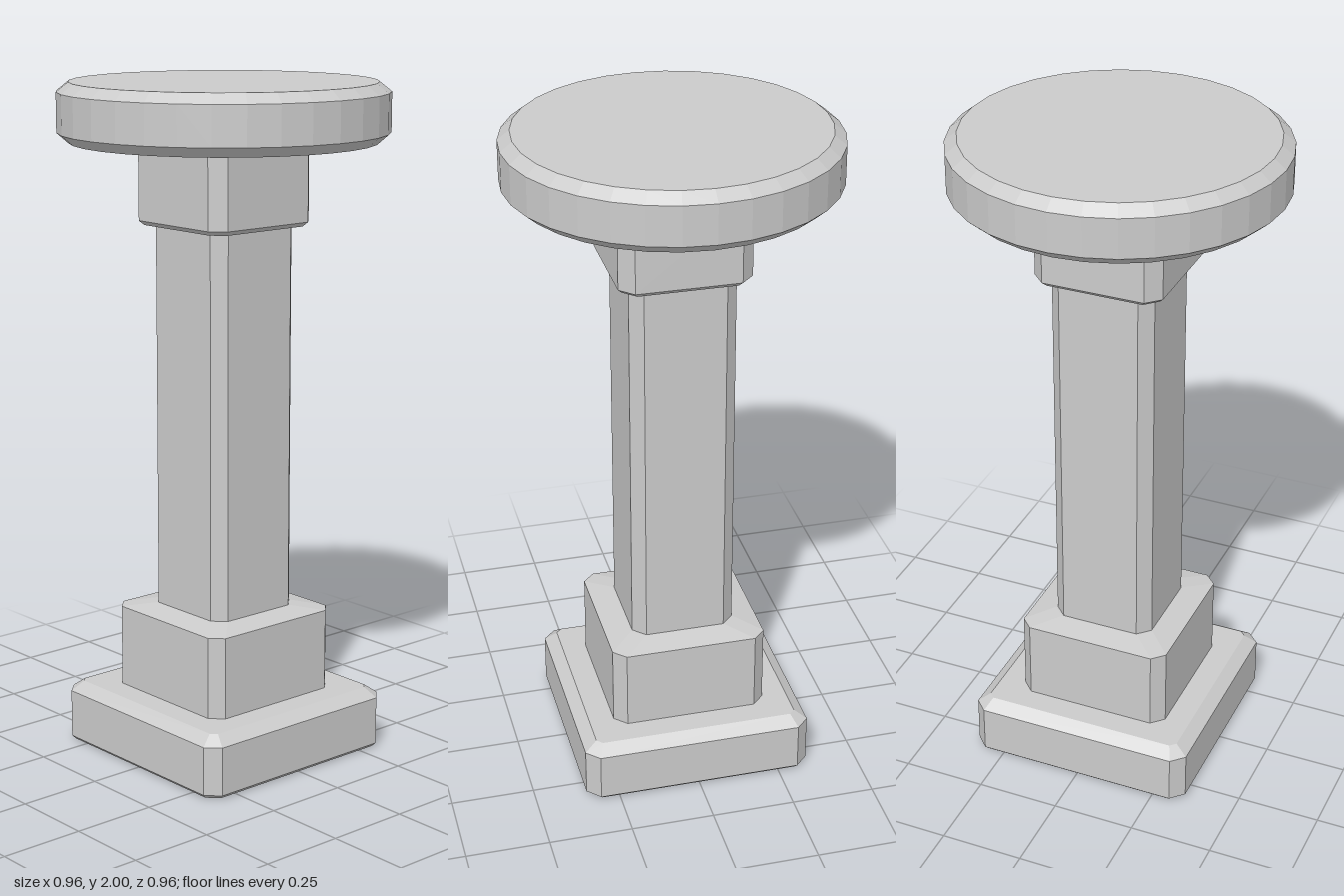
import * as THREE from 'three';

const material = new THREE.MeshStandardMaterial({ color: 0xcccccc, flatShading: true });

// Square outline with cut corners: half width h, corner cut c
function outline(y, h, c) {
  const k = h - c;
  return [[h, -k], [h, k], [k, h], [-k, h], [-h, k], [-h, -k], [-k, -h], [k, -h]]
    .map(([x, z]) => [x, y, z]);
}

// Closed block through rings of [y, half width, corner cut], bottom to top
function chamferedBlock(name, levels) {
  const rings = levels.map(([y, h, c]) => outline(y, h, c));
  const top = rings.length - 1;
  const lowCentre = [0, levels[0][0], 0];
  const highCentre = [0, levels[top][0], 0];
  const positions = [];
  const triangle = (a, b, c) => positions.push(...a, ...b, ...c);
  for (let i = 0; i < 8; i++) {
    const j = (i + 1) % 8;
    for (let r = 0; r < top; r++) {
      triangle(rings[r][i], rings[r + 1][i], rings[r][j]);
      triangle(rings[r][j], rings[r + 1][i], rings[r + 1][j]);
    }
    triangle(lowCentre, rings[0][i], rings[0][j]);
    triangle(highCentre, rings[top][j], rings[top][i]);
  }
  const geometry = new THREE.BufferGeometry();
  geometry.setAttribute('position', new THREE.Float32BufferAttribute(positions, 3));
  geometry.computeVertexNormals();
  const mesh = new THREE.Mesh(geometry, material);
  mesh.name = name;
  return mesh;
}

export function createModel() {
  const model = new THREE.Group();
  model.name = 'pedestalStand';

  // Square foot, pedestal block, shaft and capital
  model.add(
    chamferedBlock('foot', [[0, 0.335, 0.032], [0.012, 0.347, 0.038], [0.157, 0.347, 0.038], [0.185, 0.31, 0.017]]),
    chamferedBlock('pedestal', [[0.18, 0.235, 0.036], [0.43, 0.235, 0.036], [0.445, 0.16, 0.036]]),
    chamferedBlock('shaft', [[0.42, 0.156, 0.036], [1.62, 0.156, 0.036]]),
    chamferedBlock('capital', [[1.587, 0.18, 0.036], [1.6, 0.193, 0.04], [1.84, 0.193, 0.04]]),
  );

  // Round top with bevelled rims
  const profile = [[0, 1.828], [0.447, 1.828], [0.48, 1.857], [0.48, 1.972], [0.445, 2], [0, 2]]
    .map(([r, y]) => new THREE.Vector2(r, y));
  const disc = new THREE.Mesh(new THREE.LatheGeometry(profile, 32), material);
  disc.name = 'roundTop';
  model.add(disc);

  return model;
}
